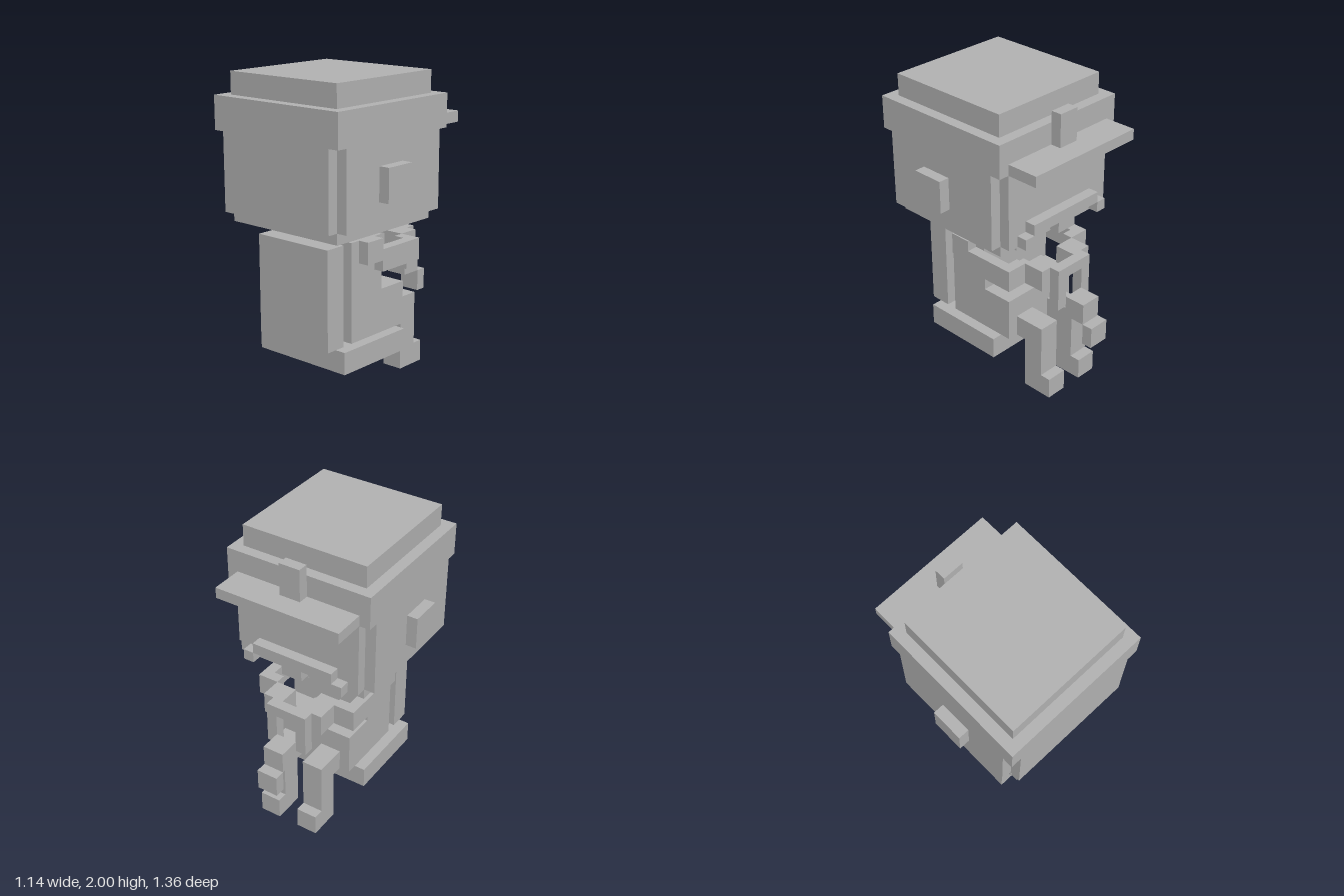
import * as THREE from 'three';

const U = 1 / 14; // size of one block

export function createModel() {
  const model = new THREE.Group();
  model.name = 'blockFigure';
  const grey = new THREE.MeshStandardMaterial({ color: 0xb2b2b2 });
  grey.name = 'grey';

  // box from block-grid limits
  function box(name, x0, x1, y0, y1, z0, z1) {
    const g = new THREE.BoxGeometry((x1 - x0) * U, (y1 - y0) * U, (z1 - z0) * U);
    const mesh = new THREE.Mesh(g, grey);
    mesh.position.set((x0 + x1) * U / 2, (y0 + y1) * U / 2, (z0 + z1) * U / 2);
    mesh.name = name;
    model.add(mesh);
  }
  // same box on both sides
  function pair(name, x0, x1, ...rest) {
    box(name + 'Left', x0, x1, ...rest);
    box(name + 'Right', -x1, -x0, ...rest);
  }

  // head with notched vertical corners
  box('headWide', -7, 7, 16, 23, -3.5, 8.5);
  box('headDeep', -6, 6, 16, 23, -4.5, 9.5);
  box('jaw', -6, 6, 15, 16, -3.5, 8.5);
  pair('ear', 7, 8, 18, 21, 1.5, 4.5);

  // cap with visor and badge
  box('capBand', -7, 7, 23, 26, -4.5, 9.5);
  box('capTop', -6, 6, 26, 28, -3.5, 8.5);
  box('visor', -6, 6, 23, 24, -7.5, -4.5);
  box('capBadge', -1, 1, 24, 27, -5.5, -4.5);

  // face
  box('moustache', -4, 4, 17, 18, -5.5, -4.5);
  pair('moustacheTip', 4, 5, 16, 17, -5.5, -4.5);
  box('lip', -1, 1, 16, 17, -5.5, -4.5);

  // neck and collar knot
  box('neck', -1, 1, 14, 15, 1.5, 3.5);
  box('collar', -2, 2, 13, 14, -0.5, 0.5);
  box('collarKnot', 1, 2, 13, 15, -1.5, -0.5);

  // body and pack
  box('chest', -4, 4, 9, 14, 0.5, 4.5);
  box('belly', -4, 4, 5, 9, -2.5, 4.5);
  box('button', -1, 1, 9, 10, -0.5, 0.5);
  box('seat', -5, 5, 3, 5, -1.5, 6.5);
  box('backPanel', -4, 4, 5, 14, 5.5, 7.5);
  box('backPanelPeg', -1, 1, 9, 10, 4.5, 5.5);

  // arms reaching forward
  pair('shoulder', 4, 5, 12, 14, 1.5, 3.5);
  pair('arm', 4, 5, 11, 13, -3.5, 1.5);
  pair('wrist', 3, 4, 11, 13, -3.5, -2.5);
  pair('hand', 1, 3, 11, 13, -5.5, -3.5);

  // held arch with stepped spout
  box('archTop', -2, 2, 12, 13, -6.5, -5.5);
  pair('archSide', 1, 2, 9, 12, -6.5, -5.5);
  box('spoutBase', -1, 1, 8, 10, -8.5, -6.5);
  box('spoutTip', -1, 1, 6, 8, -9.5, -8.5);

  // legs
  pair('thigh', 1, 3, 5, 7, -3.5, -2.5);
  pair('shin', 1, 3, 0, 7, -5.5, -3.5);
  pair('toe', 1, 3, 0, 2, -6.5, -5.5);

  return model;
}
